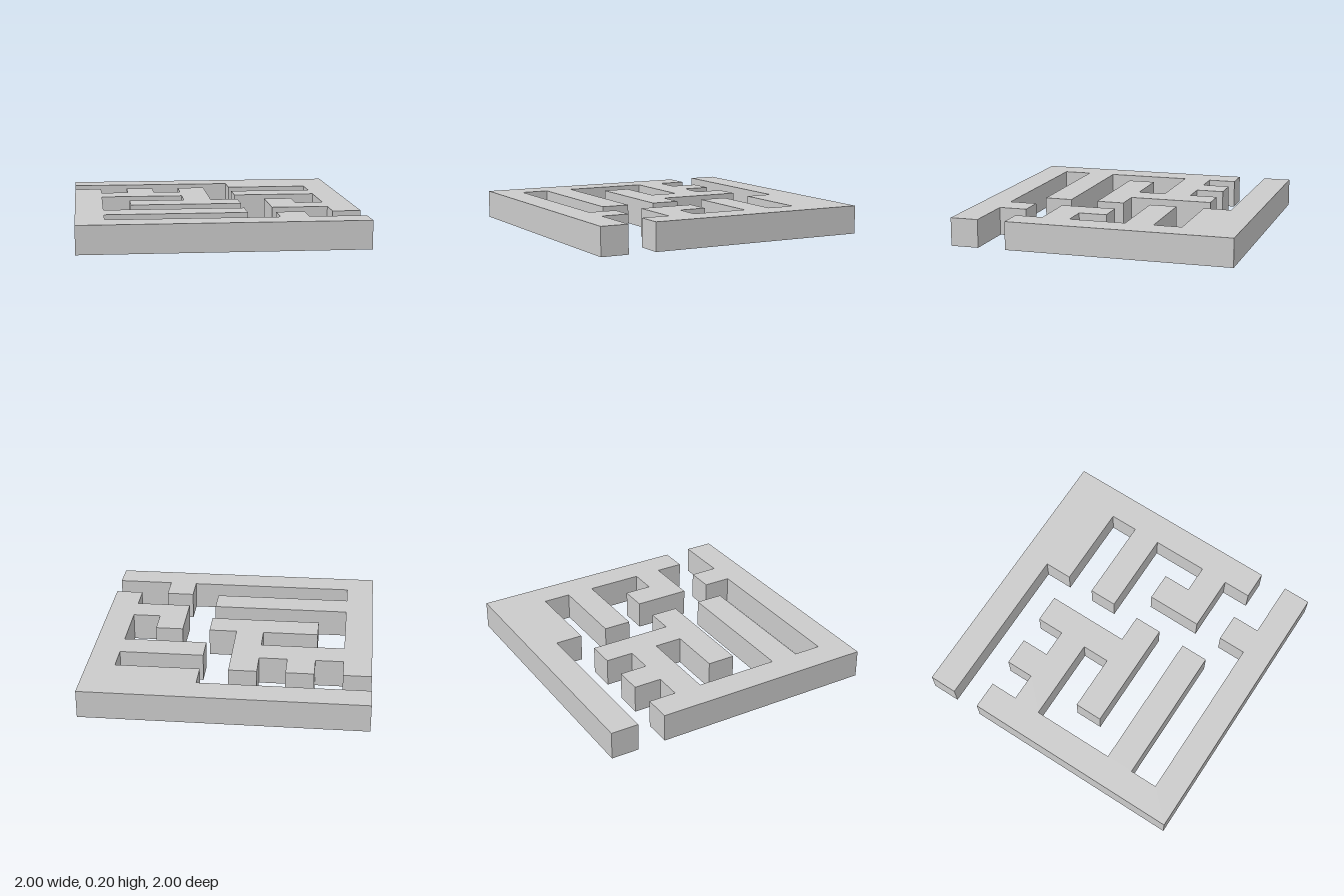
import * as THREE from 'three';
import { mergeGeometries } from 'three/addons/utils/BufferGeometryUtils.js';

const CELL = 0.2, HEIGHT = 0.2;
const toWorld = (n) => n * CELL - 1;

// Wall outlines as [column, row] corners on a 10 x 10 grid, clockwise seen from above
const outlines = {
  backRightMazeWall: [
    [0, 0], [10, 0], [10, 8], [9, 8], [9, 7], [7, 7], [7, 5], [8, 5], [8, 6], [9, 6],
    [9, 4], [6, 4], [6, 3], [9, 3], [9, 2], [6, 2], [6, 1], [0, 1],
  ],
  frontLeftMazeWall: [
    [0, 2], [1, 2], [1, 3], [2, 3], [2, 2], [3, 2], [3, 3], [4, 3], [4, 2], [5, 2],
    [5, 5], [6, 5], [6, 6], [2, 6], [2, 5], [4, 5], [4, 4], [1, 4], [1, 7], [6, 7],
    [6, 8], [1, 8], [1, 9], [7, 9], [7, 8], [8, 8], [8, 9], [10, 9], [10, 10], [0, 10],
  ],
};

// Flat top sheet filling the outline
function topSheet(points) {
  const shape = new THREE.Shape(points.map(([x, z]) => new THREE.Vector2(x, -z)));
  return new THREE.ShapeGeometry(shape).rotateX(-Math.PI / 2).translate(0, HEIGHT, 0);
}

// One upright panel along the edge from a to b, facing outwards
function sidePanel(a, b) {
  const dx = b[0] - a[0], dz = b[1] - a[1];
  return new THREE.PlaneGeometry(Math.hypot(dx, dz), HEIGHT)
    .rotateY(Math.atan2(-dz, dx) + Math.PI)
    .translate((a[0] + b[0]) / 2, HEIGHT / 2, (a[1] + b[1]) / 2);
}

export function createModel() {
  const model = new THREE.Group();
  model.name = 'maze';
  const material = new THREE.MeshStandardMaterial({
    color: 0xcccccc, flatShading: true, side: THREE.DoubleSide,
  });

  // Each wall is a hollow shell: a top and its sides, open underneath
  for (const [name, corners] of Object.entries(outlines)) {
    const points = corners.map(([c, r]) => [toWorld(c), toWorld(r)]);
    const sides = points.map((p, i) => sidePanel(p, points[(i + 1) % points.length]));
    const wall = new THREE.Mesh(mergeGeometries([topSheet(points), ...sides]), material);
    wall.name = name;
    model.add(wall);
  }
  return model;
}
